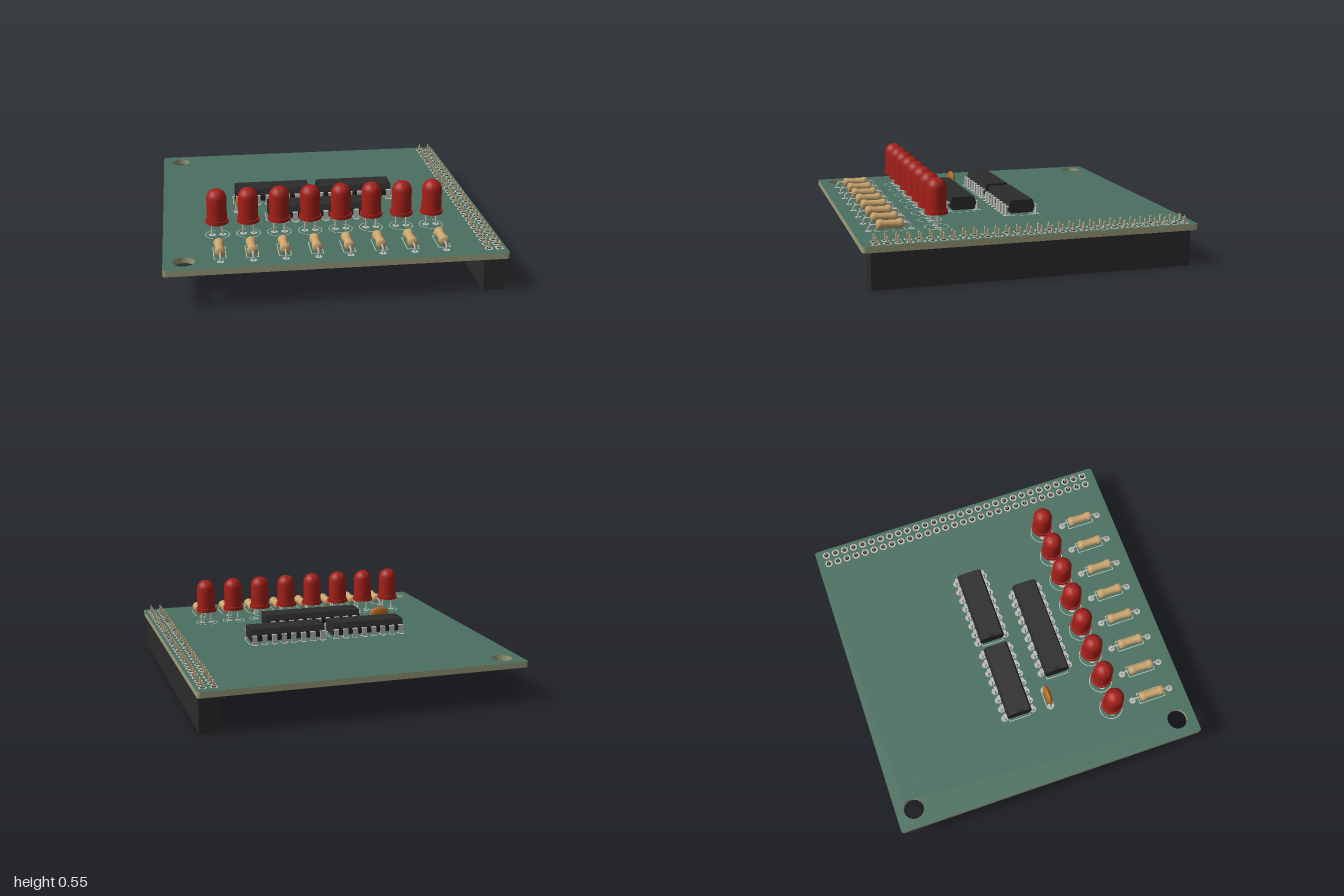
import * as THREE from 'three';
import { mergeGeometries, toCreasedNormals } from 'three/addons/utils/BufferGeometryUtils.js';

const TOP = 0.252, BOTTOM = 0.216, TIP = 0.18, PITCH = 0.0636;
const mat = (color, side = THREE.FrontSide) => new THREE.MeshStandardMaterial({ color, side });
const green = mat(0x4a7060), rim = mat(0x9c9c7c), black = mat(0x2b2b2b), dark = mat(0x1c1c1c);
const metal = mat(0xb9b9b5), gold = mat(0xc4b48c), red = mat(0xa51f18), tan = mat(0xcaa56e);
const orange = mat(0xb5651d), white = mat(0xb4c4ba);

const box = (w, h, d, x, y, z) => new THREE.BoxGeometry(w, h, d).translate(x, y, z);
const post = (r, y0, y1, x, z) => new THREE.CylinderGeometry(r, r, y1 - y0, 8).translate(x, (y0 + y1) / 2, z);
const flatRing = (r0, r1, x, z, y = TOP + 0.001, n = 16) =>
  new THREE.RingGeometry(r0, r1, n).rotateX(-Math.PI / 2).translate(x, y, z);

function add(parent, name, geometry, material) {
  const mesh = new THREE.Mesh(Array.isArray(geometry) ? mergeGeometries(geometry) : geometry, material);
  mesh.name = name;
  parent.add(mesh);
  return mesh;
}

function group(parent, name, x = 0, z = 0) {
  const g = new THREE.Group();
  g.name = name;
  g.position.set(x, 0, z);
  parent.add(g);
  return g;
}

// Printed rectangular outline on the board surface
function outline(w, d) {
  const t = 0.005, y = TOP + 0.0005;
  return [-1, 1].flatMap(s => [
    box(w, 0.001, t, 0, y, s * d / 2),
    box(t, 0.001, d, s * w / 2, y, 0),
  ]);
}

// Board with rounded corners and two mounting holes
function makeBoard(root) {
  const s = new THREE.Shape(), e = 0.998, r = 0.02;
  s.moveTo(-e + r, -e);
  s.absarc(e - r, -e + r, r, -Math.PI / 2, 0);
  s.absarc(e - r, e - r, r, 0, Math.PI / 2);
  s.absarc(-e + r, e - r, r, Math.PI / 2, Math.PI);
  s.absarc(-e + r, -e + r, r, Math.PI, Math.PI * 1.5);
  for (const y of [0.883, -0.88]) {
    s.holes.push(new THREE.Path().absarc(-0.878, y, 0.063, 0, Math.PI * 2, true));
  }
  const geo = new THREE.ExtrudeGeometry(s, { depth: TOP - BOTTOM, bevelEnabled: false, curveSegments: 16 });
  add(root, 'board', geo.rotateX(-Math.PI / 2).translate(0, BOTTOM, 0), [green, rim]);
}

// Two-row connector under the right edge, pins poking through the board
function makeHeader(root) {
  const g = group(root, 'header', 0.923, -0.005);
  const pins = [], pads = [], holes = [];
  for (let i = 0; i < 30; i++) {
    for (const x of [-PITCH / 2, PITCH / 2]) {
      const z = (i - 14.5) * PITCH;
      pins.push(box(0.01, 0.09, 0.01, x, 0.247, z),
        new THREE.ConeGeometry(0.007, 0.012, 4, 1).rotateY(Math.PI / 4).translate(x, 0.297, z));
      pads.push(i === 29 && x > 0 ? box(0.046, 0.002, 0.046, x, TOP, z) : flatRing(0.012, 0.025, x, z));
      holes.push(flatRing(0, 0.014, x, z, TOP + 0.0015, 12));
    }
  }
  add(g, 'headerHousing', box(0.126, BOTTOM, 1.905, 0, BOTTOM / 2, 0.005), black);
  add(g, 'headerPins', pins, gold);
  add(g, 'headerPads', pads, metal);
  add(g, 'headerHoles', holes, dark);
}

// Dual in-line chip: bevelled body and n legs per side
function makeChip(root, x, z, n, length) {
  const g = group(root, 'chip', x, z);
  const profile = new THREE.Shape([[-0.068, 0.266], [0.068, 0.266], [0.081, 0.3], [0.081, 0.312],
    [0.068, 0.347], [-0.068, 0.347], [-0.081, 0.312], [-0.081, 0.3]].map(p => new THREE.Vector2(...p)));
  const body = new THREE.ExtrudeGeometry(profile, { depth: length, bevelEnabled: false });
  add(g, 'chipBody', body.rotateY(Math.PI / 2).translate(-length / 2, 0, 0), black);
  const notch = new THREE.CircleGeometry(0.022, 16, -Math.PI / 2, Math.PI);
  add(g, 'chipNotch', notch.rotateX(-Math.PI / 2).translate(-length / 2, 0.348, 0), dark);
  const legs = [], pads = [];
  for (let i = 0; i < n; i++) {
    for (const s of [-1, 1]) {
      const px = (i - (n - 1) / 2) * PITCH;
      legs.push(box(0.032, 0.008, 0.028, px, 0.306, s * 0.086),
        box(0.032, 0.056, 0.008, px, 0.28, s * 0.096),
        box(0.011, 0.072, 0.008, px, TIP + 0.036, s * 0.096));
      pads.push(flatRing(0, 0.022, px, s * 0.096));
    }
  }
  add(g, 'chipLegs', legs, metal);
  add(g, 'chipPads', pads, metal);
  add(g, 'chipOutline', outline(length + 0.026, 0.14), white);
}

// Domed lamp with a base flange on two leads
function makeLed(root, x) {
  const g = group(root, 'led', x, 0.505);
  const pts = [[0, 0.333], [0.068, 0.333], [0.068, 0.355], [0.06, 0.355], [0.06, 0.42]]
    .map(p => new THREE.Vector2(...p));
  for (let i = 0; i <= 8; i++) {
    const a = i / 8 * Math.PI / 2;
    pts.push(new THREE.Vector2(Math.max(0, 0.06 * Math.cos(a)), 0.486 + 0.06 * Math.sin(a)));
  }
  add(g, 'ledLens', toCreasedNormals(new THREE.LatheGeometry(pts, 28), 0.7), red);
  add(g, 'ledLeads', [-1, 1].map(s => post(0.006, TIP, 0.34, s * PITCH / 2, 0)), metal);
  add(g, 'ledPads', [-1, 1].map(s => flatRing(0, 0.022, s * PITCH / 2, 0, TOP + 0.0015)), metal);
  add(g, 'ledOutline', flatRing(0.069, 0.074, 0, 0, TOP + 0.001, 32), white);
}

// Resistor with swollen ends lying along z, leads bent down
function makeResistor(root, x) {
  const g = group(root, 'resistor', x, 0.78);
  const y = 0.286, half = 0.127;
  const pts = [[0, -0.082], [0.022, -0.08], [0.031, -0.07], [0.031, -0.05], [0.025, -0.038],
    [0.025, 0.038], [0.031, 0.05], [0.031, 0.07], [0.022, 0.08], [0, 0.082]].map(p => new THREE.Vector2(...p));
  add(g, 'resistorBody', new THREE.LatheGeometry(pts, 20).rotateX(Math.PI / 2).translate(0, y, 0), tan);
  const leads = [-1, 1].map(s => {
    const v = (py, pz) => new THREE.Vector3(0, py, s * pz), path = new THREE.CurvePath();
    path.add(new THREE.LineCurve3(v(y, 0.07), v(y, half - 0.025)));
    path.add(new THREE.QuadraticBezierCurve3(v(y, half - 0.025), v(y, half), v(y - 0.025, half)));
    path.add(new THREE.LineCurve3(v(y - 0.025, half), v(TIP, half)));
    return new THREE.TubeGeometry(path, 20, 0.006, 8);
  });
  add(g, 'resistorLeads', leads, metal);
  add(g, 'resistorPads', [-1, 1].map(s => flatRing(0, 0.021, 0, s * half)), metal);
  add(g, 'resistorOutline', outline(0.07, 0.174), white);
}

// Small lens-shaped disc capacitor
function makeCapacitor(root) {
  const g = group(root, 'capacitor', -0.475, 0.143);
  const disc = new THREE.SphereGeometry(1, 24, 16).scale(0.066, 0.047, 0.021).translate(0, 0.317, 0);
  add(g, 'capacitorBody', disc, orange);
  add(g, 'capacitorLeads', [-1, 1].map(s => post(0.006, TIP, 0.317, s * 0.06, 0)), metal);
  add(g, 'capacitorPads', [-1, 1].map(s => flatRing(0, 0.021, s * 0.06, 0)), metal);
  add(g, 'capacitorOutline', outline(0.13, 0.046), white);
}

export function createModel() {
  const root = new THREE.Group();
  root.name = 'circuitBoard';
  makeBoard(root);
  makeHeader(root);
  makeChip(root, -0.293, -0.066, 8, 0.478);
  makeChip(root, 0.245, -0.066, 8, 0.478);
  makeChip(root, -0.022, 0.255, 10, 0.644);
  for (let i = 0; i < 8; i++) {
    makeLed(root, -0.671 + i * 0.1874);
    makeResistor(root, -0.671 + i * 0.1874);
  }
  makeCapacitor(root);
  return root;
}
